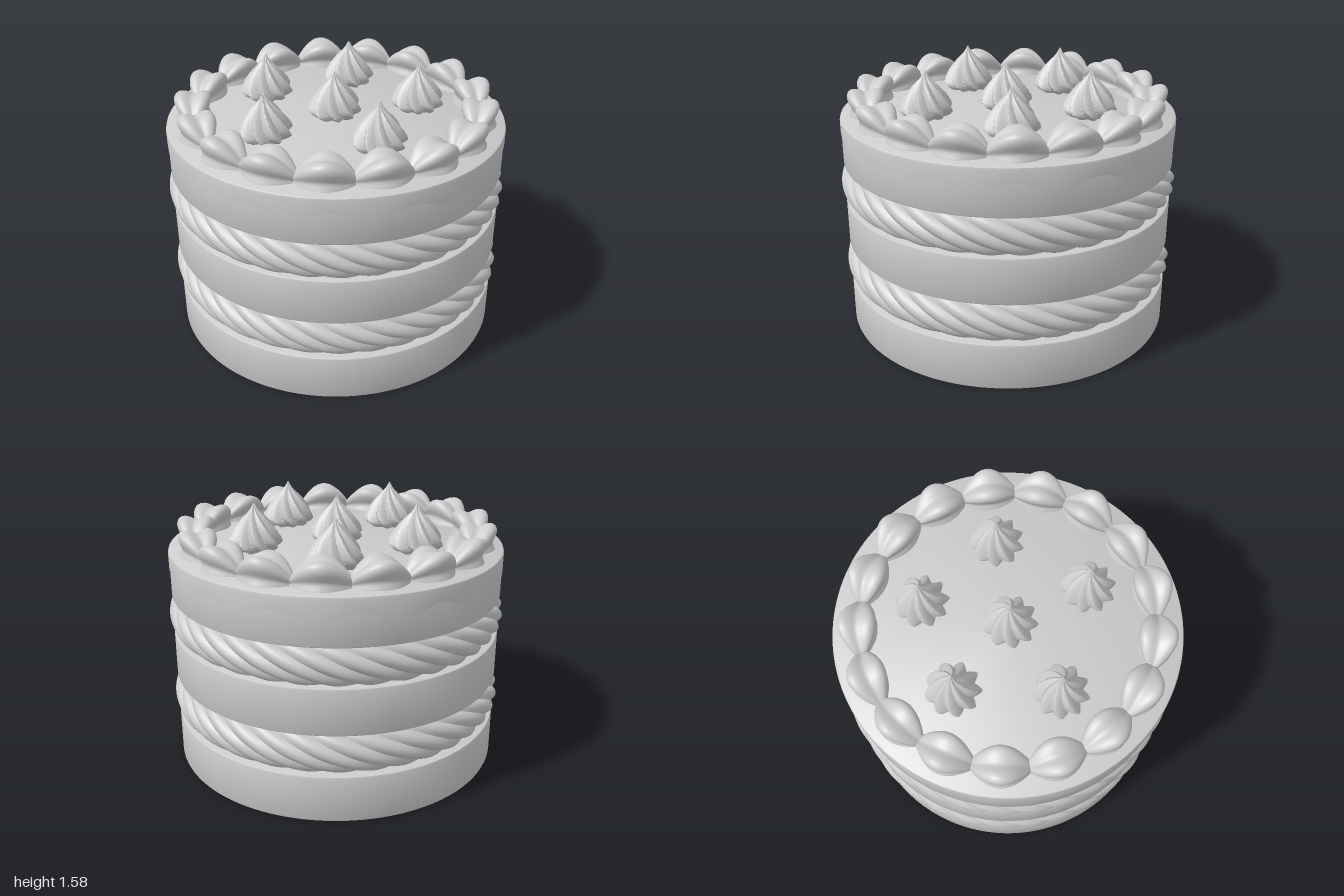
import * as THREE from 'three';
import { toCreasedNormals } from 'three/addons/utils/BufferGeometryUtils.js';
import { ParametricGeometry } from 'three/addons/geometries/ParametricGeometry.js';

const TAU = Math.PI * 2;
const material = new THREE.MeshStandardMaterial({ color: 0xcccccc });
const thin = new THREE.MeshStandardMaterial({ color: 0xcccccc, side: THREE.DoubleSide });

const TOP = 1.305;
const pts = (list) => list.map(([x, y]) => new THREE.Vector2(x, y));

function mesh(name, geometry, mat = material) {
  const m = new THREE.Mesh(geometry, mat);
  m.name = name;
  return m;
}

// Sponge disc with a softened rim
function layerGeometry(h) {
  const r = 0.98, b = 0.012;
  const profile = pts([[0, 0], [r - b, 0], [r - b * 0.3, b * 0.3], [r, b], [r, h - b],
    [r - b * 0.3, h - b * 0.3], [r - b, h], [0, h]]);
  return toCreasedNormals(new THREE.LatheGeometry(profile, 96), 0.6);
}

// Icing skin over the top layer, its hem waving around the side
function icingGeometry() {
  const hem = 1.19;
  const profile = pts([[0.976, hem], [0.984, hem], [0.985, 1.285], [0.981, 1.299], [0.971, TOP], [0, TOP]]);
  const g = new THREE.LatheGeometry(profile, 140);
  const p = g.attributes.position;
  for (let i = 0; i < p.count; i++) {
    if (p.getY(i) > hem + 0.01) continue;
    const a = Math.atan2(p.getX(i), p.getZ(i));
    p.setY(i, hem + 0.028 * Math.cos(14 * a));
  }
  return toCreasedNormals(g, 0.6);
}

// Rope of cream: a torus with eight rounded strands that twist four times
function ropeGeometry() {
  const g = new ParametricGeometry((u, v, out) => {
    const a = u * TAU, t = v * TAU;
    const r = 0.14 * (0.85 + 0.15 * Math.abs(Math.sin(4 * (t + 4 * a))));
    const R = 0.86 + r * Math.cos(t);
    out.set(R * Math.sin(a), r * Math.sin(t), R * Math.cos(a));
  }, 256, 64);
  return toCreasedNormals(g, 0.7);
}

// Border shell: a four-lobed section that swells and tapers along x
function shellGeometry() {
  return new ParametricGeometry((u, v, out) => {
    const t = u * 2 - 1, a = v * TAU;
    const s = Math.pow(Math.max(0, Math.cos(t * Math.PI / 2)), 0.8);
    const r = 0.135 * s * (0.82 + 0.18 * Math.cos(4 * (a - Math.PI / 4)));
    // follow the curve of the border
    const bend = 0.83 * (Math.cos(t * 0.21) - 1);
    out.set(t * 0.18, 0.04 * s + r * Math.sin(a), bend + r * Math.cos(a));
  }, 24, 48);
}

// Swirled kiss: nine pointed ridges spiralling up to a tip
function kissGeometry() {
  const profile = new THREE.SplineCurve(pts([[0.1, -0.01], [0.15, 0.025], [0.157, 0.06],
    [0.125, 0.12], [0.075, 0.18], [0.03, 0.225], [0.002, 0.27]]));
  const g = new ParametricGeometry((u, v, out) => {
    const a = u * TAU, p = profile.getPoint(v);
    const ridge = Math.asin(Math.abs(Math.sin(4.5 * (a - 1.1 * (1 - v))))) * 2 / Math.PI;
    const r = Math.max(p.x, 0.001) * (0.72 + 0.28 * ridge);
    out.set(r * Math.sin(a), p.y, r * Math.cos(a));
  }, 72, 24);
  return toCreasedNormals(g, 0.6);
}

export function createModel() {
  const cake = new THREE.Group();
  cake.name = 'layerCake';

  // Sponge layers: base height and thickness
  [[0, 0.28], [0.525, 0.277], [1.025, 0.275]].forEach(([y, h], i) => {
    const layer = mesh('spongeLayer' + (i + 1), layerGeometry(h));
    layer.position.y = y;
    cake.add(layer);
  });

  // Cream between the layers
  const rope = ropeGeometry();
  [0.402, 0.913].forEach((y, i) => {
    const ring = mesh('creamRope' + (i + 1), rope);
    ring.position.y = y;
    cake.add(ring);
  });

  cake.add(mesh('icing', icingGeometry(), thin));

  // Piped border of seventeen shells
  const border = new THREE.Group();
  border.name = 'shellBorder';
  const shell = shellGeometry();
  for (let i = 0; i < 17; i++) {
    const a = 0.044 + i * TAU / 17;
    const s = mesh('shell', shell);
    s.position.set(0.83 * Math.sin(a), TOP, 0.83 * Math.cos(a));
    s.rotation.y = a;
    border.add(s);
  }
  cake.add(border);

  // Kisses scattered over the top
  const kisses = new THREE.Group();
  kisses.name = 'creamKisses';
  const kiss = kissGeometry();
  [[0, 0.015], [-0.155, -0.47], [0.385, -0.31], [-0.495, -0.04], [0.41, 0.28], [-0.2, 0.46]].forEach(([x, z], i) => {
    const k = mesh('creamKiss', kiss);
    k.position.set(x, TOP, z);
    k.rotation.y = i * 0.25;
    kisses.add(k);
  });
  cake.add(kisses);

  return cake;
}
